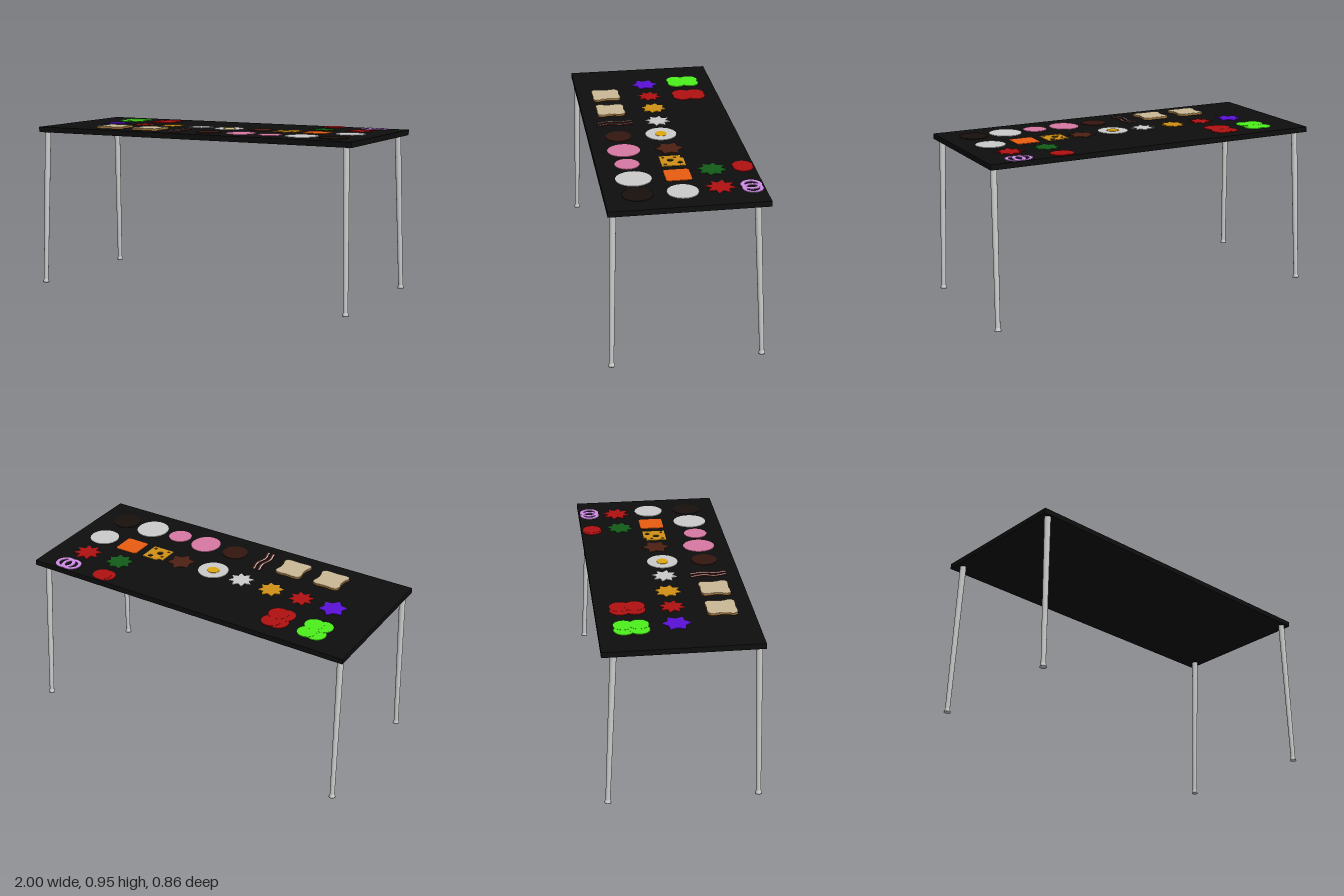
import * as THREE from 'three';

const TOP = 0.938; // height of the table surface

const paint = (color) => new THREE.MeshStandardMaterial({ color });

// Flat shapes, drawn as seen from above (shape y points to the back)
function disc(rx, rz = rx) {
  return new THREE.Shape().absellipse(0, 0, rx, rz, 0, Math.PI * 2);
}
function hole(x, y, r) {
  return new THREE.Path().absarc(x, y, r, 0, Math.PI * 2, true);
}
function star(points, outer, inner, turn = 0) {
  const pts = [];
  for (let i = 0; i < points * 2; i++) {
    const a = turn + (i * Math.PI) / points;
    const r = i % 2 ? inner : outer;
    pts.push(new THREE.Vector2(Math.cos(a) * r, Math.sin(a) * r));
  }
  return new THREE.Shape(pts);
}
function roundedSquare(h, r) {
  const s = new THREE.Shape();
  s.absarc(h - r, h - r, r, 0, Math.PI / 2);
  s.absarc(r - h, h - r, r, Math.PI / 2, Math.PI);
  s.absarc(r - h, r - h, r, Math.PI, Math.PI * 1.5);
  s.absarc(h - r, r - h, r, Math.PI * 1.5, Math.PI * 2);
  return s;
}
function breadShape(k = 1) {
  const half = [[0, 0.08], [0.055, 0.083], [0.08, 0.068], [0.08, 0.04], [0.074, 0.01],
    [0.078, -0.03], [0.087, -0.055], [0.078, -0.078], [0.05, -0.083], [0, -0.08]];
  const left = half.slice(1, -1).reverse().map(([x, y]) => [-x, y]);
  const pts = [...half, ...left].map(([x, y]) => new THREE.Vector3(x * k, y * k, 0));
  const curve = new THREE.CatmullRomCurve3(pts, true);
  return new THREE.Shape(curve.getPoints(60).slice(0, -1).map((p) => new THREE.Vector2(p.x, p.y)));
}
function wavyStrip(width) {
  const right = [], left = [];
  for (let i = 0; i <= 24; i++) {
    const y = -0.103 + (0.206 * i) / 24;
    const x = 0.007 * Math.sin(y * 45);
    right.push(new THREE.Vector2(x + width / 2, y));
    left.unshift(new THREE.Vector2(x - width / 2, y));
  }
  return new THREE.Shape([...right, ...left]);
}

function slab(name, shape, color, x, z, height = 0.003, y = TOP) {
  const geo = new THREE.ExtrudeGeometry(shape, { depth: height, bevelEnabled: false, curveSegments: 20 });
  geo.rotateX(-Math.PI / 2);
  const mesh = new THREE.Mesh(geo, paint(color));
  mesh.name = name;
  mesh.position.set(x, y, z);
  return mesh;
}

// Tapered leg with a flared foot, leaning from its foot to the table
function leg(name, foot, head) {
  const length = head.distanceTo(foot);
  const profile = [[0, 0], [0.019, 0], [0.018, 0.006], [0.0135, 0.02], [0.0135, 0.022],
    [0.018, length], [0, length]].map(([r, y]) => new THREE.Vector2(r, y));
  const geo = new THREE.LatheGeometry(profile, 20);
  const mesh = new THREE.Mesh(geo, paint(0xcccccc));
  mesh.name = name;
  mesh.position.copy(foot);
  mesh.quaternion.setFromUnitVectors(new THREE.Vector3(0, 1, 0), head.clone().sub(foot).normalize());
  return mesh;
}

export function createModel() {
  const model = new THREE.Group();
  model.name = 'foodTable';

  // Table top
  const top = new THREE.Mesh(new THREE.BoxGeometry(2, 0.031, 0.852), paint(0x0e0e0e));
  top.name = 'tableTop';
  top.position.set(0, TOP - 0.0155, -0.005);
  model.add(top);

  // Splayed legs
  for (const [side, s] of [['left', 1], ['right', -1]]) {
    model.add(leg(side + 'FrontLeg', new THREE.Vector3(s * 0.976, 0.002, 0.413), new THREE.Vector3(s * 0.958, 0.912, 0.391)));
    model.add(leg(side + 'BackLeg', new THREE.Vector3(s * 0.976, 0.006, -0.412), new THREE.Vector3(s * 0.958, 0.912, -0.366)));
  }

  // Clusters of overlapping slices
  const clusters = [
    ['pickleSlices', 0x4cf01c, 0.055, [-0.772, -0.716], [-0.293, -0.21]],
    ['tomatoSlices', 0xb01010, 0.058, [-0.54, -0.498], [-0.293, -0.213]],
    ['beetSlices', 0xb01010, 0.055, [0.545, 0.57], [-0.367]],
  ];
  for (const [name, color, r, xs, zs] of clusters) {
    const group = new THREE.Group();
    group.name = name;
    xs.forEach((x, i) => zs.forEach((z, j) =>
      group.add(slab('slice', disc(r), color, x, z, 0.003 + 0.0005 * (i * 2 + j)))));
    model.add(group);
  }

  // Onion rings
  for (const [i, x] of [0.791, 0.832].entries()) {
    const ring = disc(0.057);
    ring.holes.push(hole(0, 0, 0.037));
    model.add(slab('onionRing', ring, 0xd08ce8, x, -0.365, 0.003 + i * 0.0005));
  }

  // Leafy and sauce splashes
  const splashes = [
    ['lettuceLeaf', 0x125c18, 0.572, -0.195, 8, 0.08, 0.055],
    ['pepperSplash', 0xb01010, 0.795, -0.2, 8, 0.085, 0.05],
    ['purpleSplash', 0x5a10d8, -0.725, -0.01, 6, 0.08, 0.053],
    ['ketchupSplash', 0xb01010, -0.527, -0.01, 8, 0.074, 0.045],
    ['mustardSplash', 0xd09014, -0.335, -0.01, 8, 0.074, 0.05],
    ['mayonnaiseSplash', 0xcccccc, -0.137, -0.005, 8, 0.074, 0.046],
    ['brownSplash', 0x4c2012, 0.265, -0.01, 6, 0.08, 0.053],
  ];
  for (const [name, color, x, z, n, outer, inner] of splashes)
    model.add(slab(name, star(n, outer, inner, Math.PI / 6), color, x, z));

  // Fried egg
  model.add(slab('eggWhite', disc(0.088), 0xcccccc, 0.056, 0.005));
  model.add(slab('eggYolk', disc(0.036, 0.033), 0xe0a810, 0.056, 0.005, 0.005));

  // Cheese slices
  const cheese = new THREE.Shape([[-0.066, -0.066], [0.066, -0.066], [0.066, 0.066], [-0.03, 0.066],
    [-0.035, 0.052], [-0.05, 0.048], [-0.066, 0.055]].map(([x, y]) => new THREE.Vector2(x, y)));
  cheese.holes.push(hole(-0.008, -0.01, 0.018), hole(0.027, 0.04, 0.014), hole(-0.04, 0.02, 0.008),
    hole(0.045, -0.045, 0.009), hole(-0.045, -0.045, 0.008));
  model.add(slab('swissCheese', cheese, 0xd09014, 0.433, 0));
  model.add(slab('cheddarSlice', roundedSquare(0.07, 0.015), 0xe85c10, 0.617, 0));

  // Round slices and patties
  const rounds = [
    ['whiteCheeseSlice', 0xcccccc, 0.82, 0.005, 0.085, 0.085],
    ['sausagePatty', 0x341610, 0.056, 0.25, 0.073, 0.073],
    ['hamSlice', 0xd878a4, 0.256, 0.245, 0.085, 0.092],
    ['smallHamSlice', 0xd878a4, 0.44, 0.25, 0.068, 0.068],
    ['turkeySlice', 0xcccccc, 0.63, 0.24, 0.093, 0.098],
    ['burgerPatty', 0x17100d, 0.822, 0.245, 0.08, 0.083],
  ];
  for (const [name, color, x, z, rx, rz] of rounds)
    model.add(slab(name, disc(rx, rz), color, x, z));

  // Bread slices, with a crust below the crumb
  for (const x of [-0.575, -0.332]) {
    model.add(slab('breadCrust', breadShape(), 0xa8793c, x, 0.25, 0.0095));
    model.add(slab('breadCrumb', breadShape(0.97), 0xcab995, x, 0.25, 0.0115));
  }

  // Bacon strips: pale fat beside dark meat
  for (const x of [-0.156, -0.123]) {
    model.add(slab('baconMeat', wavyStrip(0.018), 0x4a1614, x, 0.245, 0.003));
    model.add(slab('baconFat', wavyStrip(0.007), 0xd8c0b8, x - 0.003, 0.245, 0.004));
  }

  return model;
}
